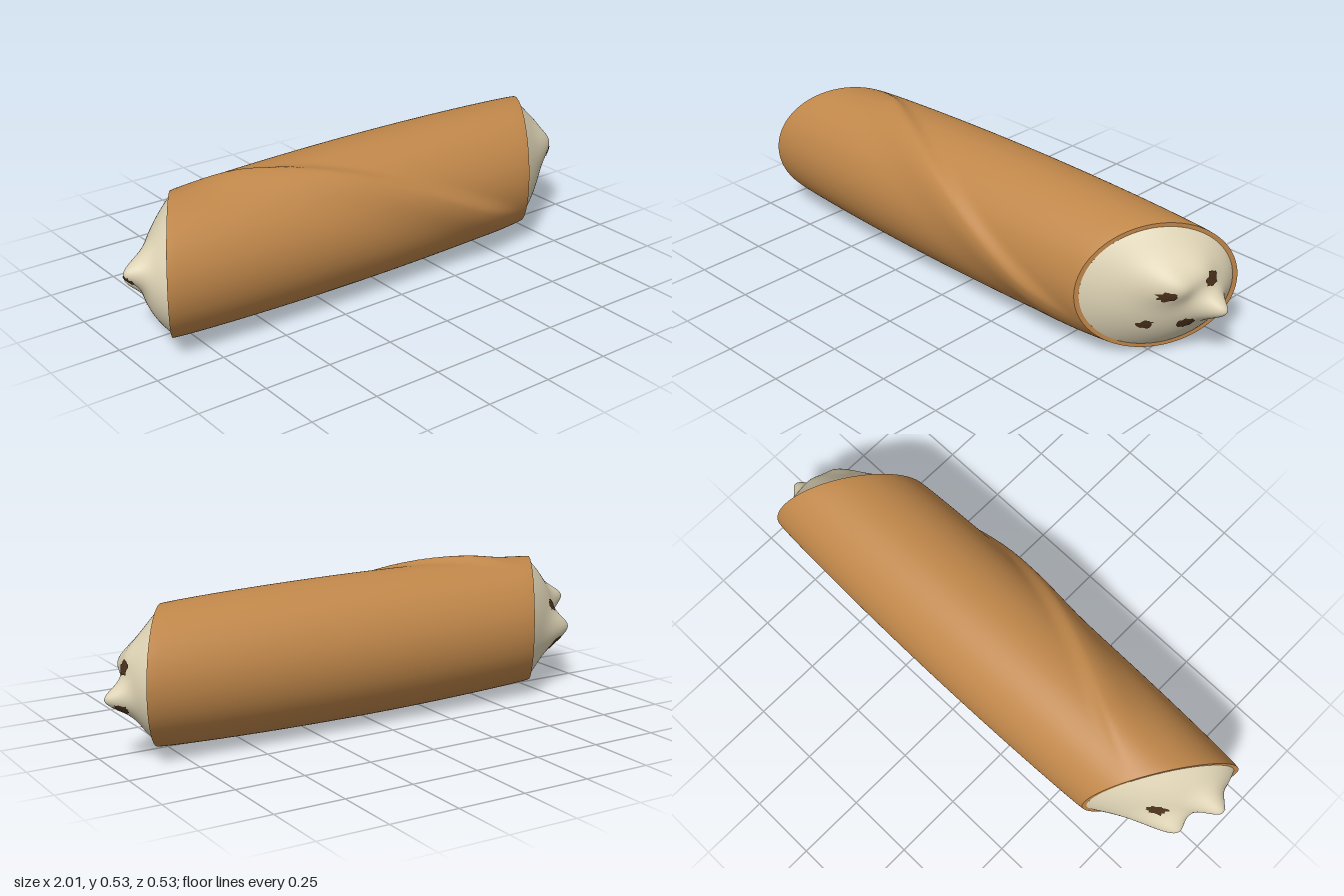
import * as THREE from 'three';

const CY = 0.257;      // height of the tube axis
const SLANT = 0.65;    // slope of both diagonal end cuts
const RIM_IN = 0.222, RIM_OUT = 0.236;

const shellMat = new THREE.MeshStandardMaterial({ color: 0xc0874a });
shellMat.name = 'bakedPastry';
const creamMat = new THREE.MeshStandardMaterial({ color: 0xddd2b4 });
creamMat.name = 'cream';
const chipMat = new THREE.MeshStandardMaterial({ color: 0x4b321c });
chipMat.name = 'darkChocolate';

// Each end: direction, cut position, cream peaks [z, y, height, width], chips [z, y, radius]
const ENDS = [
  {
    name: 'left', side: 1, cut: 0.77,
    peaks: [[-0.075, 0.22, 0.08, 0.035], [0.05, 0.315, 0.05, 0.045], [-0.05, 0.35, 0.02, 0.04]],
    chips: [[0.07, 0.285, 0.024], [-0.08, 0.32, 0.03], [0.085, 0.157, 0.023], [-0.015, 0.157, 0.027], [-0.115, 0.195, 0.02]],
  },
  {
    name: 'right', side: -1, cut: -0.785,
    peaks: [[0.07, 0.31, 0.07, 0.035], [-0.075, 0.215, 0.085, 0.042]],
    chips: [[-0.08, 0.32, 0.03], [0.08, 0.285, 0.023], [-0.1, 0.17, 0.025], [-0.01, 0.148, 0.024], [0.07, 0.165, 0.021]],
  },
];

// Closed ring surface: at(angle, v, column) gives a point, wrapped around the angle
function ringSurface(cols, rows, at, flip) {
  const pos = [], idx = [];
  for (let j = 0; j <= rows; j++) {
    for (let i = 0; i < cols; i++) pos.push(...at((i / cols) * Math.PI * 2, j / rows, i));
  }
  for (let j = 0; j < rows; j++) {
    for (let i = 0; i < cols; i++) {
      const a = j * cols + i, b = j * cols + (i + 1) % cols, c = a + cols, d = b + cols;
      if (flip) idx.push(a, c, b, b, c, d);
      else idx.push(a, b, c, b, d, c);
    }
  }
  const geo = new THREE.BufferGeometry();
  geo.setAttribute('position', new THREE.Float32BufferAttribute(pos, 3));
  geo.setIndex(idx);
  geo.computeVertexNormals();
  return geo;
}

function addMesh(parent, name, geo, mat) {
  const mesh = new THREE.Mesh(geo, mat);
  mesh.name = name;
  parent.add(mesh);
}

// Rolled tube with a spiral overlap that is steep on one side and soft on the other
function shellPoint(angle, t) {
  const bow = Math.pow(Math.max(0, Math.sin(Math.PI * t)), 0.7);
  let r = RIM_OUT + 0.021 * bow;
  const x0 = THREE.MathUtils.lerp(ENDS[1].cut, ENDS[0].cut, t) - SLANT * r * Math.cos(angle);
  let d = angle - (0.61 - 1.87 * x0);
  d = Math.atan2(Math.sin(d), Math.cos(d));
  const fade = THREE.MathUtils.smoothstep(t, 0, 0.2) * (1 - THREE.MathUtils.smoothstep(t, 0.85, 1));
  r += 0.021 * fade * Math.exp(-Math.pow(d / (d > 0 ? 0.12 : 0.4), 2));
  const z = r * Math.cos(angle);
  const x = THREE.MathUtils.lerp(ENDS[1].cut, ENDS[0].cut, t) - SLANT * z;
  return [x, CY + r * Math.sin(angle), z];
}

// Cream surface: shallow dome on the slanted cut plus piped peaks
function creamX(end, z, y) {
  const r2 = (z * z + (y - CY) ** 2) / (RIM_IN * RIM_IN);
  let h = 0.12 * (1 - r2);
  for (const [pz, py, height, width] of end.peaks) {
    h += height * Math.exp(-((z - pz) ** 2 + (y - py) ** 2) / (2 * width * width)) * Math.max(0, 1 - r2 ** 4);
  }
  return end.cut - SLANT * z + end.side * h;
}

export function createModel() {
  const model = new THREE.Group();
  model.name = 'filledPastryRoll';

  let seed = 7;
  const random = () => (seed = (seed * 16807) % 2147483647) / 2147483647;

  addMesh(model, 'pastryShell', ringSurface(144, 90, shellPoint, true), shellMat);

  for (const end of ENDS) {
    const group = new THREE.Group();
    group.name = end.name + 'End';
    model.add(group);
    const flip = end.side < 0;

    // Flat cut edge of the pastry
    addMesh(group, 'pastryRim', ringSurface(144, 1, (a, v) => {
      const r = THREE.MathUtils.lerp(RIM_IN, RIM_OUT, v), z = r * Math.cos(a);
      return [end.cut - SLANT * z, CY + r * Math.sin(a), z];
    }, flip), shellMat);

    // Cream filling
    addMesh(group, 'creamFilling', ringSurface(96, 44, (a, v) => {
      const r = RIM_IN * Math.max(v, 0.001), z = r * Math.cos(a), y = CY + r * Math.sin(a);
      return [creamX(end, z, y), y, z];
    }, flip), creamMat);

    // Jagged chocolate chips lying on the cream
    for (const [cz, cy, size] of end.chips) {
      const jag = Array.from({ length: 20 }, () => size * (0.6 + 0.45 * random()));
      addMesh(group, 'chocolateChip', ringSurface(20, 4, (a, v, i) => {
        const r = jag[i] * Math.max(v, 0.01), z = cz + r * Math.cos(a), y = cy + r * Math.sin(a);
        return [creamX(end, z, y) + end.side * 0.004, y, z];
      }, flip), chipMat);
    }
  }
  return model;
}
